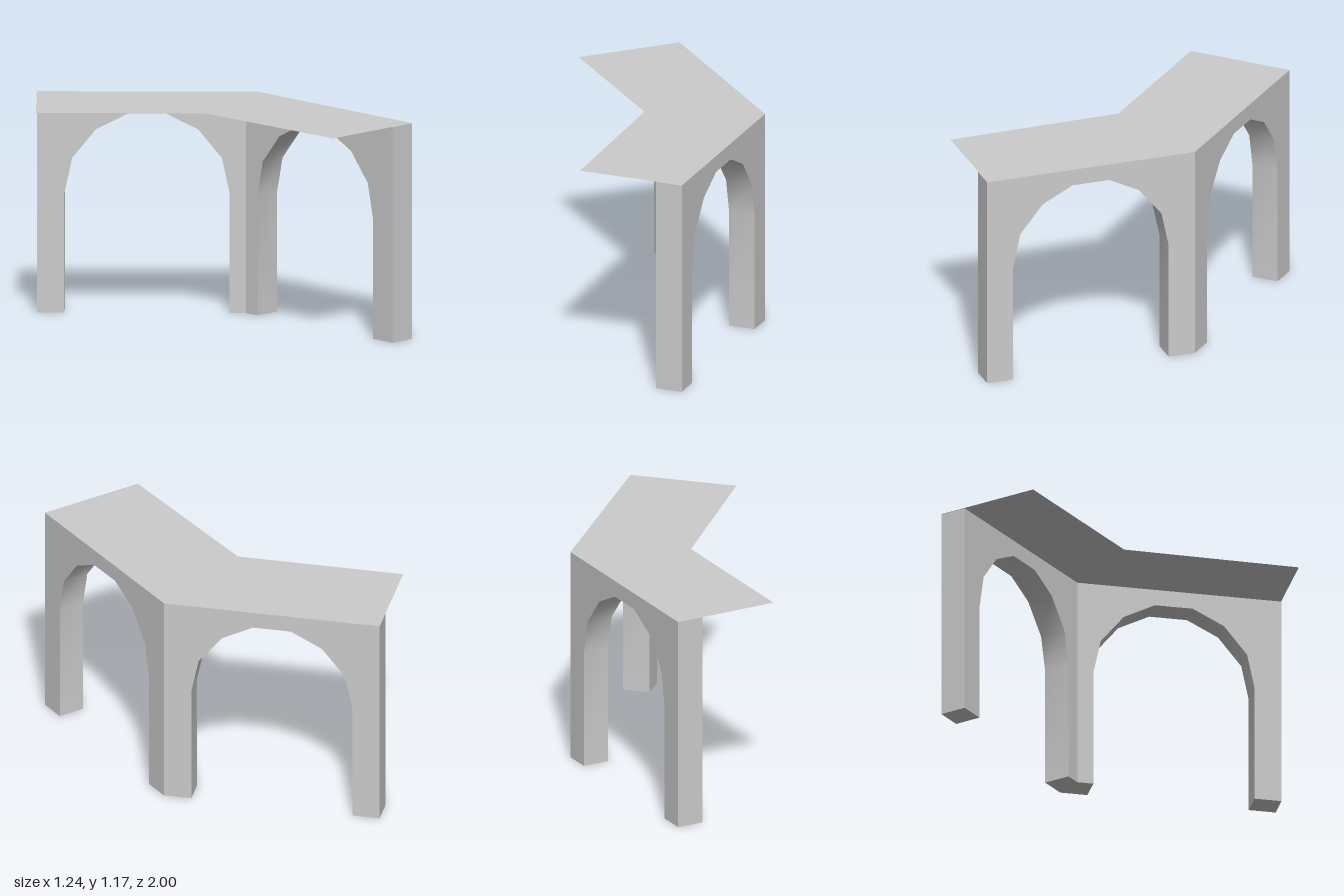
import * as THREE from 'three';
import { toCreasedNormals } from 'three/addons/utils/BufferGeometryUtils.js';

const HEIGHT = 1.17, LENGTH = 1.172, THICK = 0.147, SPRING = 0.65;
const OPEN_START = 0.148, OPEN_WIDTH = 0.877;
const CORNER = { x: 0.62, z: -0.17 };

// Arch corners as [fraction of the opening width, height], first half
const ARCH = [[0, 0], [0, SPRING], [0.046, 0.84], [0.19, 0.995], [0.383, 1.08]];

// Wall with an arched opening, running from the mitred corner at u = 0
function archedWall(sign) {
  const arch = [...ARCH, ...ARCH.map(([f, y]) => [1 - f, y]).reverse()];
  const outline = [
    [0, 0],
    ...arch.map(([f, y]) => [OPEN_START + f * OPEN_WIDTH, y]),
    [LENGTH, 0], [LENGTH, HEIGHT], [0, HEIGHT],
  ];
  const shape = new THREE.Shape(outline.map(([u, y]) => new THREE.Vector2(sign * u, y)));
  const geometry = new THREE.ExtrudeGeometry(shape, { depth: THICK, bevelEnabled: false });

  // Mitre the corner end so that both walls meet cleanly
  const pos = geometry.attributes.position;
  for (let i = 0; i < pos.count; i++) {
    if (Math.abs(pos.getX(i)) < 1e-5) {
      pos.setX(i, sign * pos.getZ(i) * Math.tan(Math.PI / 8));
    }
  }
  geometry.computeVertexNormals();
  return toCreasedNormals(geometry, 0.6);
}

export function createModel() {
  const model = new THREE.Group();
  model.name = 'arcadeCorner';
  const material = new THREE.MeshStandardMaterial({ color: 0xcccccc });

  // Two arched walls meeting at a 45 degree bend
  const walls = [
    ['straightArchWall', 1, -Math.PI / 2],
    ['angledArchWall', -1, -Math.PI / 4],
  ];
  for (const [name, sign, angle] of walls) {
    const wall = new THREE.Mesh(archedWall(sign), material);
    wall.name = name;
    wall.position.set(CORNER.x, 0, CORNER.z);
    wall.rotation.y = angle;
    model.add(wall);
  }

  // Thin flat roof reaching inward past the walls
  const plan = [[-0.21, -1], [0.62, -0.17], [0.62, 1], [0.035, 1], [0.015, 0.045], [-0.62, -0.59]];
  const roofShape = new THREE.Shape(plan.map(([x, z]) => new THREE.Vector2(x, -z)));
  const roofMaterial = new THREE.MeshStandardMaterial({ color: 0xcccccc, side: THREE.DoubleSide });
  const roof = new THREE.Mesh(new THREE.ShapeGeometry(roofShape), roofMaterial);
  roof.name = 'roof';
  roof.rotation.x = -Math.PI / 2;
  roof.position.y = HEIGHT + 0.001;
  model.add(roof);

  return model;
}
